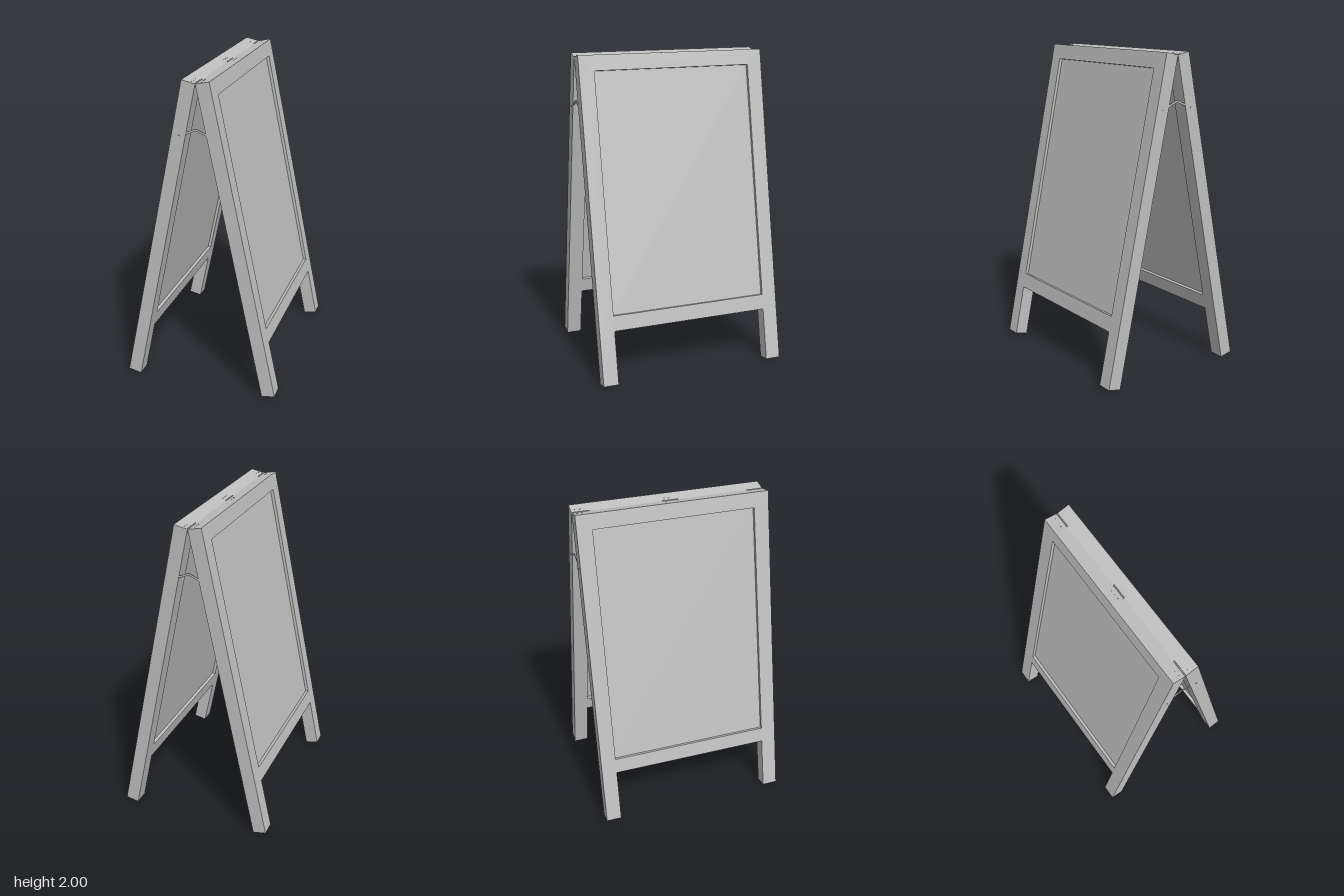
import * as THREE from 'three';

const W = 0.605;      // half width of a board
const T = 0.085;      // frame thickness
const R = 0.096;      // rail and leg width
const TILT = 0.206;   // lean of each board
const PIVOT = 2 - T * Math.sin(TILT);
const L = PIVOT / Math.cos(TILT);
const RAIL_BOTTOM = -1.69;
const RECESS = 0.02;

const grey = new THREE.MeshStandardMaterial({ color: 0xbfbfbf });
grey.name = 'light grey';

function add(parent, name, geometry, x = 0, y = 0, z = 0) {
  const mesh = new THREE.Mesh(geometry, grey);
  mesh.name = name;
  mesh.position.set(x, y, z);
  parent.add(mesh);
  return mesh;
}

const polygon = (Type, pts) => new Type(pts.map(([x, y]) => new THREE.Vector2(x, y)));

// One leaning board, hung from its top inner edge
function makeBoard(name) {
  const board = new THREE.Group();
  board.name = name;
  const i = W - R;
  const top = -R, bottom = RAIL_BOTTOM + R;

  // Frame with legs and a window for the panel
  const outline = polygon(THREE.Shape, [
    [-W, 0], [-W, -L], [-i, -L], [-i, RAIL_BOTTOM],
    [i, RAIL_BOTTOM], [i, -L], [W, -L], [W, 0],
  ]);
  outline.holes.push(polygon(THREE.Path, [[-i, top], [i, top], [i, bottom], [-i, bottom]]));
  add(board, 'frame', new THREE.ExtrudeGeometry(outline, { depth: T, bevelEnabled: false }));

  // Writing panel, recessed on both faces
  add(board, 'panel', new THREE.BoxGeometry(2 * i, top - bottom, T - 2 * RECESS), 0, (top + bottom) / 2, T / 2);

  // Hinge screws on the top edge
  for (const x of [-0.55, 0, 0.55]) {
    for (const dx of [-0.03, 0, 0.03]) {
      add(board, 'hingeScrew', new THREE.CylinderGeometry(0.004, 0.004, 0.002, 8), x + dx, 0.0005, 0.03);
    }
  }

  board.position.y = PIVOT;
  board.rotation.x = -TILT;
  return board;
}

// Folding stay joining the boards at one side
function makeStay(side) {
  const stay = new THREE.Group();
  stay.name = side > 0 ? 'leftStay' : 'rightStay';
  const reach = 0.105, drop = 0.045;
  for (const s of [-1, 1]) {
    const arm = add(stay, 'stayArm', new THREE.BoxGeometry(0.006, 0.012, Math.hypot(reach, drop)), 0, -drop / 2, s * reach / 2);
    arm.rotation.x = s * Math.atan2(drop, reach);
    const screw = add(stay, 'stayScrew', new THREE.CylinderGeometry(0.005, 0.005, 0.014, 8), 0, -drop, s * reach);
    screw.rotation.z = Math.PI / 2;
  }
  stay.position.set(side * (W - 0.005), 1.715, 0);
  return stay;
}

export function createModel() {
  const model = new THREE.Group();
  model.name = 'pavementSign';

  const back = new THREE.Group();
  back.name = 'backHalf';
  back.rotation.y = Math.PI;
  back.add(makeBoard('backBoard'));
  model.add(makeBoard('frontBoard'), back, makeStay(1), makeStay(-1));

  // Hinge barrels in the groove along the ridge
  for (const x of [-0.55, 0, 0.55]) {
    const barrel = add(model, 'hingeBarrel', new THREE.CylinderGeometry(0.004, 0.004, 0.1, 8), x, PIVOT + 0.001, 0);
    barrel.rotation.z = Math.PI / 2;
  }

  // The sign stands turned on the ground
  model.rotation.y = THREE.MathUtils.degToRad(20);
  const root = new THREE.Group();
  root.name = 'model';
  root.add(model);
  return root;
}
